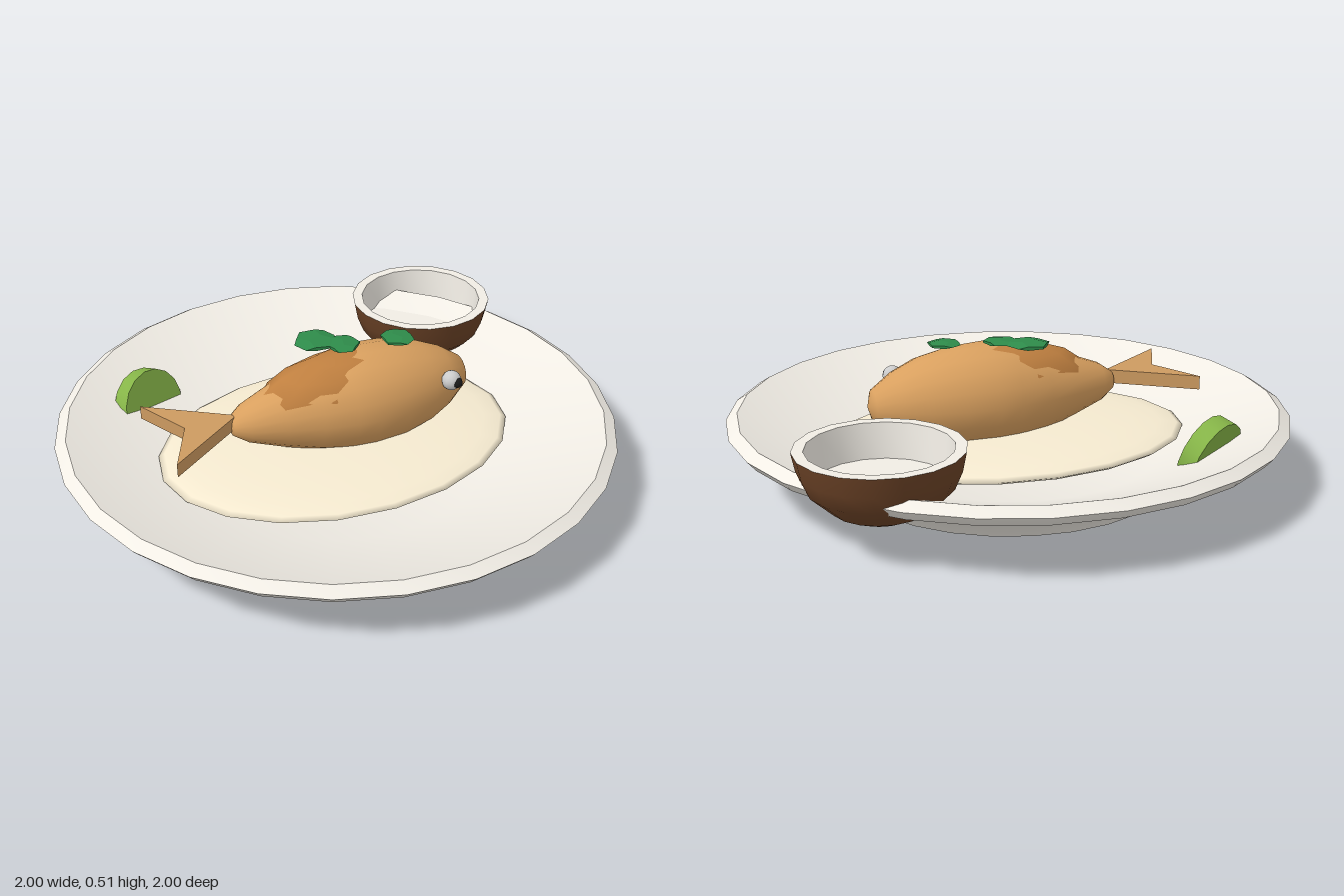
import * as THREE from 'three';
import { toCreasedNormals } from 'three/addons/utils/BufferGeometryUtils.js';

const mat = (color, flatShading = false) => new THREE.MeshStandardMaterial({ color, flatShading, side: THREE.DoubleSide });

function add(parent, name, geometry, material, x = 0, y = 0, z = 0) {
  const mesh = new THREE.Mesh(geometry, material);
  mesh.name = name;
  mesh.position.set(x, y, z);
  parent.add(mesh);
  return mesh;
}

// Turned shape from [radius, height] pairs, with hard edges kept sharp
function lathe(points, segments, crease = 0.6) {
  const profile = points.map(([r, y]) => new THREE.Vector2(r, y));
  return toCreasedNormals(new THREE.LatheGeometry(profile, segments), crease);
}

export function createModel() {
  const model = new THREE.Group();
  const white = mat(0xf0ece4);

  // Plate: underside, sloping rim and shallow well in one profile
  add(model, 'plate', lathe([
    [0, 0], [0.6, 0], [0.65, 0.06], [0.97, 0.2], [1, 0.235],
    [0.96, 0.26], [0.55, 0.1], [0, 0.1],
  ], 28), white);

  // Oval pool of sauce in the well
  const sauce = add(model, 'sauce', new THREE.SphereGeometry(1, 20, 12), mat(0xf5ead0), 0, 0.145, 0);
  sauce.scale.set(0.66, 0.045, 0.48);

  // Fish: round body along x, browned back, tail and eye
  const fish = new THREE.Group();
  fish.name = 'fish';
  fish.position.y = 0.3;
  model.add(fish);

  const body = lathe([
    [0, -0.415], [0.035, -0.4], [0.07, -0.35], [0.115, -0.23], [0.155, -0.11], [0.182, 0.01],
    [0.19, 0.09], [0.182, 0.21], [0.155, 0.33], [0.115, 0.42], [0.06, 0.5], [0, 0.52],
  ], 18, 0.9).rotateZ(-Math.PI / 2);
  add(fish, 'body', body, mat(0xd9a05f));

  const crust = add(fish, 'brownedBack', new THREE.SphereGeometry(1, 10, 8), mat(0xc08040), 0.04, 0.02, 0);
  crust.scale.set(0.36, 0.17, 0.16);

  const tailShape = new THREE.Shape([[-0.38, 0], [-0.665, 0.195], [-0.57, 0], [-0.665, -0.195]]
    .map(([x, z]) => new THREE.Vector2(x, z)));
  const tailGeometry = new THREE.ExtrudeGeometry(tailShape, { depth: 0.05, bevelEnabled: false }).rotateX(-Math.PI / 2);
  add(fish, 'tail', tailGeometry, mat(0xcc9a60), 0, -0.01, 0);

  add(fish, 'eye', new THREE.SphereGeometry(0.036, 12, 10), mat(0xffffff), 0.39, 0.06, 0.14);
  add(fish, 'pupil', new THREE.SphereGeometry(0.02, 10, 8), mat(0x1a1a1a), 0.4, 0.06, 0.163);

  // Herb leaves on the back of the fish
  const green = mat(0x2e8b4a, true);
  [[-0.035, -0.105, 0.08, 0.4], [0.045, -0.04, 0.065, 1.3], [0.24, 0, 0.063, 2.1]].forEach(([x, z, r, turn]) => {
    const leaf = add(model, 'herbLeaf', new THREE.DodecahedronGeometry(r), green, x, 0.5, z);
    leaf.scale.y = 0.15;
    leaf.rotation.y = turn;
  });

  // Lime slice standing in the plate, leaning outward
  const lime = new THREE.Group();
  lime.name = 'limeSlice';
  lime.position.set(-0.555, 0.15, -0.48);
  lime.rotation.y = 0.49;
  model.add(lime);
  const slice = add(lime, 'slice', toCreasedNormals(
    new THREE.CylinderGeometry(0.14, 0.14, 0.065, 16).rotateX(Math.PI / 2), 0.6), mat(0x86b548));
  slice.rotation.x = -0.28;

  // Small bowl tucked into the rim: brown outside, pale lining
  const bowl = new THREE.Group();
  bowl.name = 'bowl';
  bowl.position.set(0.61, 0, -0.505);
  model.add(bowl);
  add(bowl, 'bowlOutside', lathe([
    [0, 0.115], [0.1, 0.117], [0.16, 0.145], [0.235, 0.215], [0.26, 0.275], [0.273, 0.34],
  ], 18), mat(0x6b4226));
  add(bowl, 'bowlLining', lathe([[0.273, 0.34], [0.235, 0.34], [0.22, 0.22], [0, 0.22]], 18), white);

  return model;
}
